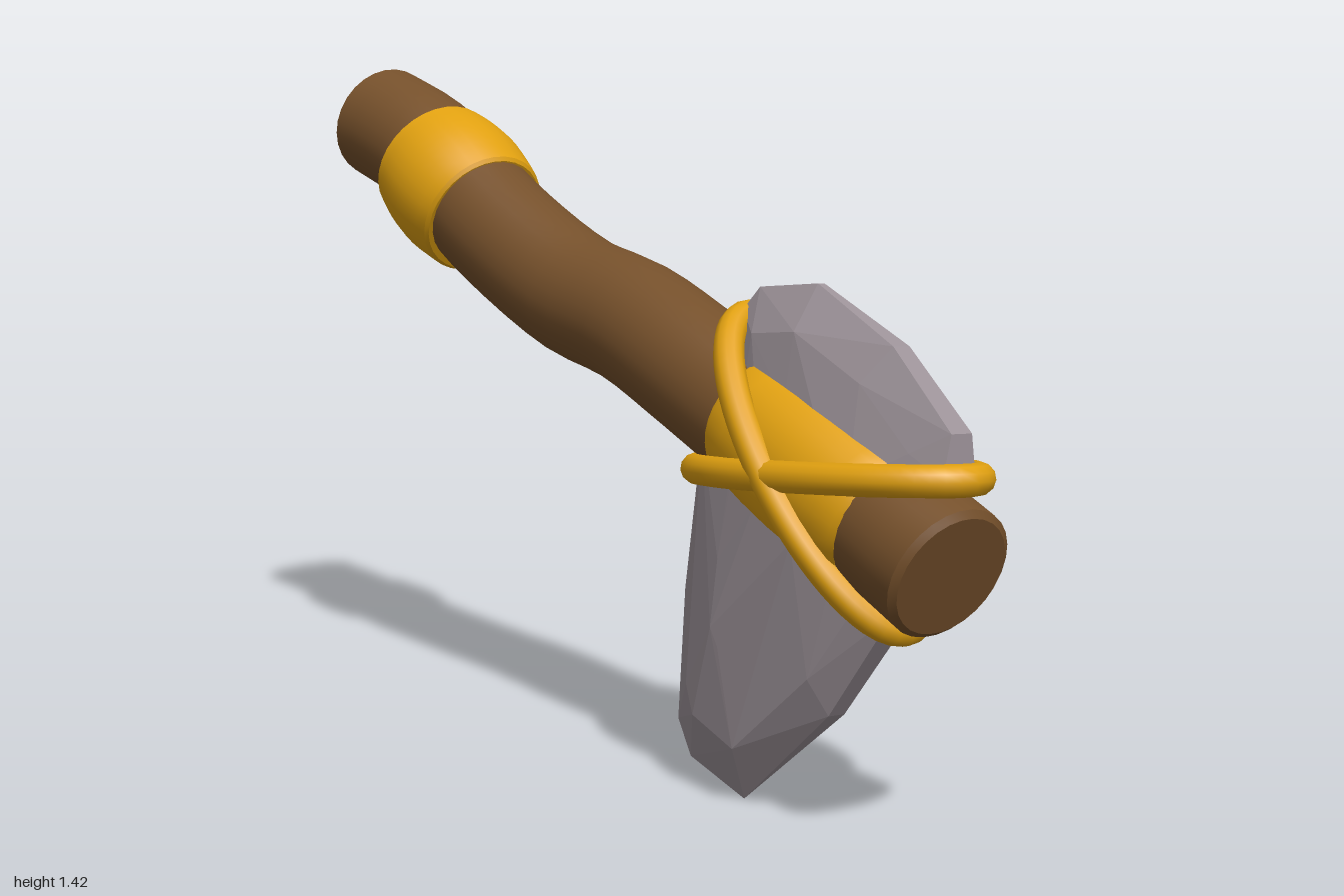
import * as THREE from 'three';
import { toCreasedNormals } from 'three/addons/utils/BufferGeometryUtils.js';
import { ConvexGeometry } from 'three/addons/geometries/ConvexGeometry.js';

const V = (x, y, z) => new THREE.Vector3(x, y, z);
const wood = new THREE.MeshStandardMaterial({ color: 0x75502b });
const cord = new THREE.MeshStandardMaterial({ color: 0xe0a010 });
const rock = new THREE.MeshStandardMaterial({ color: 0x9c9298, flatShading: true });

function part(name, geometry, material) {
  const mesh = new THREE.Mesh(geometry, material);
  mesh.name = name;
  return mesh;
}

// Turns a profile of [radius, position along curve 0..1] and bends it onto the curve
function bentLathe(curve, profile, sides) {
  const geo = new THREE.LatheGeometry(profile.map(([r, s]) => new THREE.Vector2(r, s)), sides);
  const pos = geo.attributes.position;
  for (let i = 0; i < pos.count; i++) {
    const s = pos.getY(i);
    const t = curve.getTangentAt(s);
    const n = t.clone().cross(V(0, 0, 1)).normalize();
    const b = n.clone().cross(t);
    const p = curve.getPointAt(s).addScaledVector(n, pos.getX(i)).addScaledVector(b, pos.getZ(i));
    pos.setXYZ(i, p.x, p.y, p.z);
  }
  return toCreasedNormals(geo, 0.6);
}

// Barrel-shaped binding between two points
function binding(name, from, to, rEnd, rMid) {
  const profile = [[0.11, 0], [rEnd - 0.006, 0]];
  for (let i = 0; i <= 8; i++) {
    const s = 0.03 + 0.94 * i / 8;
    profile.push([rEnd + (rMid - rEnd) * Math.sin(Math.PI * s), s]);
  }
  profile.push([rEnd - 0.006, 1], [0.11, 1]);
  return part(name, bentLathe(new THREE.LineCurve3(from, to), profile, 32), cord);
}

// Elliptical cord loop, tilted by angle in the plane of the stone
function cordLoop(name, x, y, angle, a, b) {
  const points = [];
  for (let i = 0; i < 24; i++) {
    const u = i / 24 * Math.PI * 2;
    const d = a * Math.cos(u);
    points.push(V(x + d * Math.cos(angle), y + d * Math.sin(angle), b * Math.sin(u)));
  }
  const curve = new THREE.CatmullRomCurve3(points, true);
  return part(name, new THREE.TubeGeometry(curve, 72, 0.03, 12, true), cord);
}

// Chipped stone: outline of [x, y, half edge thickness] with thicker inner rings
function stoneGeometry() {
  const outline = [
    [0.375, 0.97, 0.03], [0.41, 1.015, 0.02], [0.56, 1.03, 0.008], [0.78, 0.93, 0.02],
    [0.94, 0.79, 0.025], [0.94, 0.71, 0.04], [0.82, 0.45, 0.025], [0.66, 0.23, 0.02],
    [0.41, 0.01, 0], [0.25, 0.06, 0.008], [0.21, 0.13, 0.012], [0.23, 0.4, 0.025],
    [0.28, 0.72, 0.04],
  ];
  const points = [];
  const rings = [[1, 0], [0.8, 0.058], [0.5, 0.083], [0.2, 0.093]];
  rings.forEach(([k, depth], ring) => outline.forEach(([x, y, t], i) => {
    for (const side of [-1, 1]) {
      const chip = ring ? 0.007 * Math.sin(i * 5.3 + ring * 2.1 + side) : 0;
      const px = 0.57 + (x - 0.57) * k;
      const py = 0.58 + (y - 0.58) * k;
      points.push(V((px - 0.6) / 0.984, py - 0.68, side * (ring ? depth + chip : t)));
    }
  }));
  return new ConvexGeometry(points);
}

export function createModel() {
  const model = new THREE.Group();
  model.name = 'stoneAxe';

  // Crooked handle with slightly bevelled ends
  const spine = new THREE.CatmullRomCurve3([
    V(-0.95, 1.31, -0.175), V(-0.76, 1.247, -0.145), V(-0.63, 1.175, -0.12),
    V(-0.45, 1.07, -0.09), V(-0.2, 0.955, -0.06), V(0, 0.91, -0.03),
    V(0.2, 0.84, 0.015), V(0.4, 0.757, 0.05), V(0.6, 0.685, 0.095), V(0.947, 0.545, 0.18),
  ]);
  const profile = [[0, 0], [0.118, 0]];
  for (let i = 0; i <= 32; i++) profile.push([0.131, 0.005 + 0.99 * i / 32]);
  profile.push([0.118, 1], [0, 1]);
  model.add(part('handle', bentLathe(spine, profile, 28), wood));

  // Bindings around the grip and under the stone
  model.add(binding('gripBinding', V(-0.73, 1.222, -0.138), V(-0.53, 1.107, -0.105), 0.147, 0.162));
  model.add(binding('headBinding', V(0.41, 0.758, 0.053), V(0.79, 0.608, 0.14), 0.138, 0.152));

  // Stone head with crossed cord loops, turned slightly with the handle
  const head = new THREE.Group();
  head.name = 'head';
  head.position.set(0.6, 0.68, 0.092);
  head.rotation.set(-0.06, -0.18, 0);
  head.add(part('stone', stoneGeometry(), rock));
  head.add(cordLoop('levelCord', 0.01, 0, 0.085, 0.355, 0.152));
  head.add(cordLoop('steepCord', -0.005, 0.01, -0.86, 0.355, 0.155));
  model.add(head);

  return model;
}
